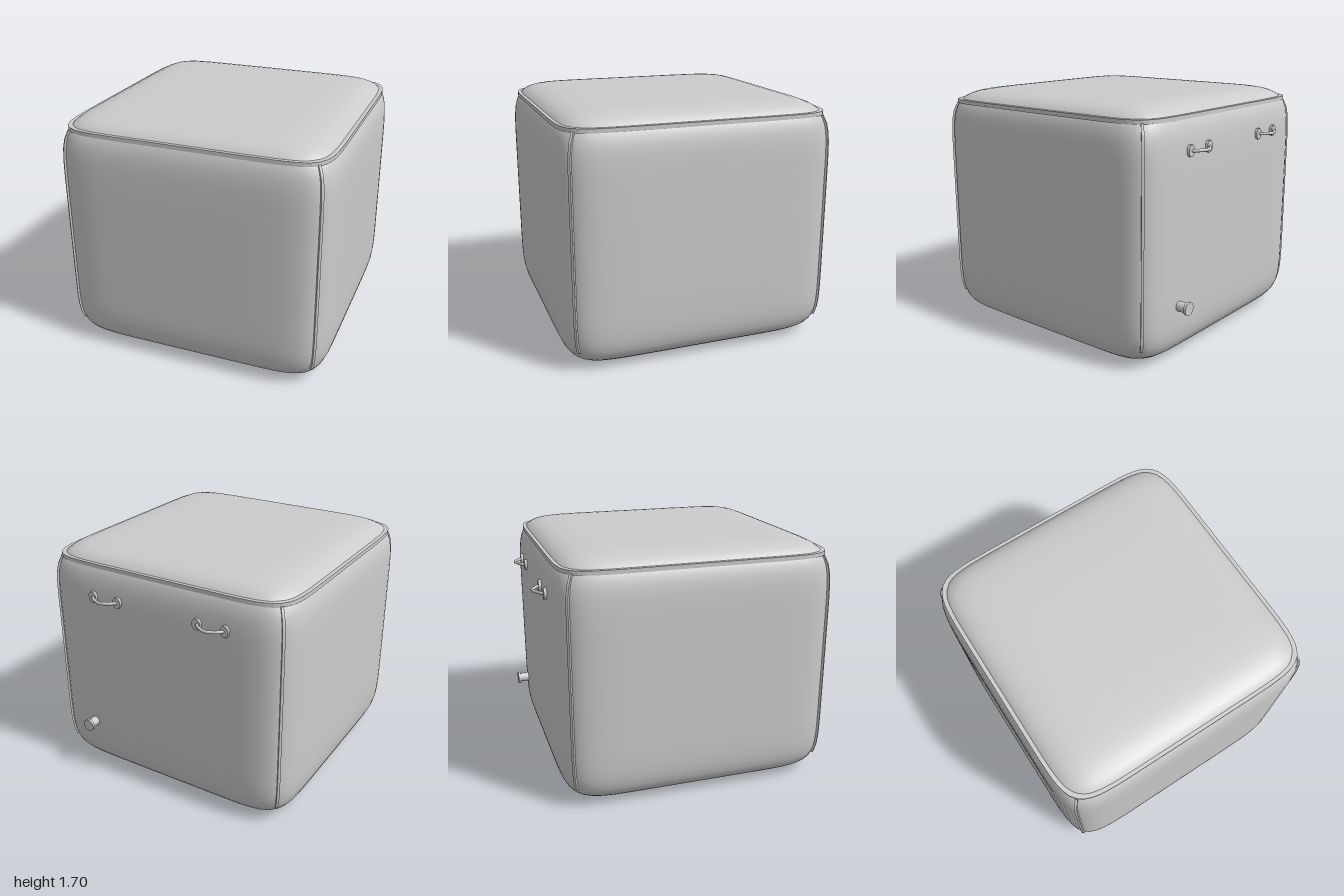
import * as THREE from 'three';
import { mergeVertices } from 'three/addons/utils/BufferGeometryUtils.js';

const HALF = { x: 0.955, y: 0.85, z: 0.96 }; // half sizes of the cushion
const CENTRE = { y: 0.85, z: 0.04 };
const POWER = 9; // squareness of the rounded block

// How far the side walls draw in at height y (1 at mid height).
const wallScale = (y) =>
  Math.pow(1 - Math.pow(Math.abs(y - CENTRE.y) / HALF.y, POWER), 1 / POWER);

// Rounded-square outline in the ground plane.
function outline(hx, hz, count = 160) {
  const points = [];
  for (let i = 0; i < count; i++) {
    const a = (i / count) * Math.PI * 2;
    const c = Math.cos(a), s = Math.sin(a);
    const k = Math.pow(Math.abs(c) ** POWER + Math.abs(s) ** POWER, -1 / POWER);
    points.push(new THREE.Vector2(c * k * hx, s * k * hz));
  }
  return points;
}

// Soft block: push a subdivided box onto a superellipsoid.
function cushionGeometry() {
  let geo = new THREE.BoxGeometry(2, 2, 2, 28, 28, 28);
  geo.deleteAttribute('normal');
  geo.deleteAttribute('uv');
  geo = mergeVertices(geo);
  const pos = geo.attributes.position;
  for (let i = 0; i < pos.count; i++) {
    const p = [pos.getX(i), pos.getY(i), pos.getZ(i)];
    const k = Math.pow(p.reduce((sum, v) => sum + Math.abs(v) ** POWER, 0), -1 / POWER);
    pos.setXYZ(i, p[0] * k * HALF.x, p[1] * k * HALF.y, p[2] * k * HALF.z);
  }
  geo.computeVertexNormals();
  return geo;
}

export function createModel() {
  const model = new THREE.Group();
  model.name = 'cushionCube';
  const material = new THREE.MeshStandardMaterial({ color: 0xcccccc });
  const add = (name, geo, x, y, z, parent = model) => {
    const mesh = new THREE.Mesh(geo, material);
    mesh.name = name;
    mesh.position.set(x, y, z);
    parent.add(mesh);
    return mesh;
  };

  add('cushionBody', cushionGeometry(), 0, CENTRE.y, CENTRE.z);

  // Flat piping band around the top edge
  const band = new THREE.Shape(outline(0.924, 0.926));
  band.holes.push(new THREE.Path(outline(0.895, 0.897)));
  const bandGeo = new THREE.ExtrudeGeometry(band, { depth: 0.028, bevelEnabled: false });
  bandGeo.rotateX(-Math.PI / 2);
  add('topPiping', bandGeo, 0, 1.594, CENTRE.z);

  // Piping strip following each vertical corner
  const corner = Math.SQRT2 * Math.pow(2, -1 / POWER) * 0.9575;
  const outer = [], inner = [];
  for (let i = 0; i <= 24; i++) {
    const y = 0.14 + (i / 24) * 1.46;
    const r = corner * wallScale(y);
    outer.push(new THREE.Vector2(r + 0.014, y));
    inner.unshift(new THREE.Vector2(r - 0.02, y));
  }
  const seamGeo = new THREE.ExtrudeGeometry(new THREE.Shape([...outer, ...inner]),
    { depth: 0.018, bevelEnabled: false });
  seamGeo.translate(0, 0, -0.009);
  for (let i = 0; i < 4; i++) {
    const seam = add('cornerPiping', seamGeo, 0, 0, CENTRE.z);
    seam.rotation.y = Math.PI / 4 + (i * Math.PI) / 2;
  }

  // Two carrying handles on the back: end plates and a bowed bar
  const plateGeo = new THREE.CylinderGeometry(0.041, 0.041, 0.025, 8);
  plateGeo.rotateY(Math.PI / 8);
  plateGeo.rotateX(Math.PI / 2);
  plateGeo.scale(0.8, 1, 1);
  const barPath = new THREE.CatmullRomCurve3([
    [-0.1, 0.01], [-0.09, -0.02], [-0.04, -0.055], [0, -0.068],
    [0.04, -0.055], [0.09, -0.02], [0.1, 0.01],
  ].map(([x, z]) => new THREE.Vector3(x, 0, z)));
  const barGeo = new THREE.TubeGeometry(barPath, 24, 0.011, 8);
  for (const x of [-0.425, 0.405]) {
    const handle = new THREE.Group();
    handle.name = 'backHandle';
    handle.position.set(x, 1.4, -0.92);
    model.add(handle);
    for (const side of [-1, 1]) add('handlePlate', plateGeo, side * 0.102, 0, -0.003, handle);
    add('handleBar', barGeo, 0, 0, 0, handle);
  }

  // Air valve low on the back: stem and wider cap
  const valve = new THREE.Group();
  valve.name = 'airValve';
  valve.position.set(0.592, 0.39, 0);
  model.add(valve);
  const disc = (radius, depth) =>
    new THREE.CylinderGeometry(radius, radius, depth, 20).rotateX(Math.PI / 2);
  add('valveStem', disc(0.034, 0.09), 0, 0, -0.945, valve);
  add('valveCap', disc(0.045, 0.018), 0, 0, -0.991, valve);

  return model;
}
